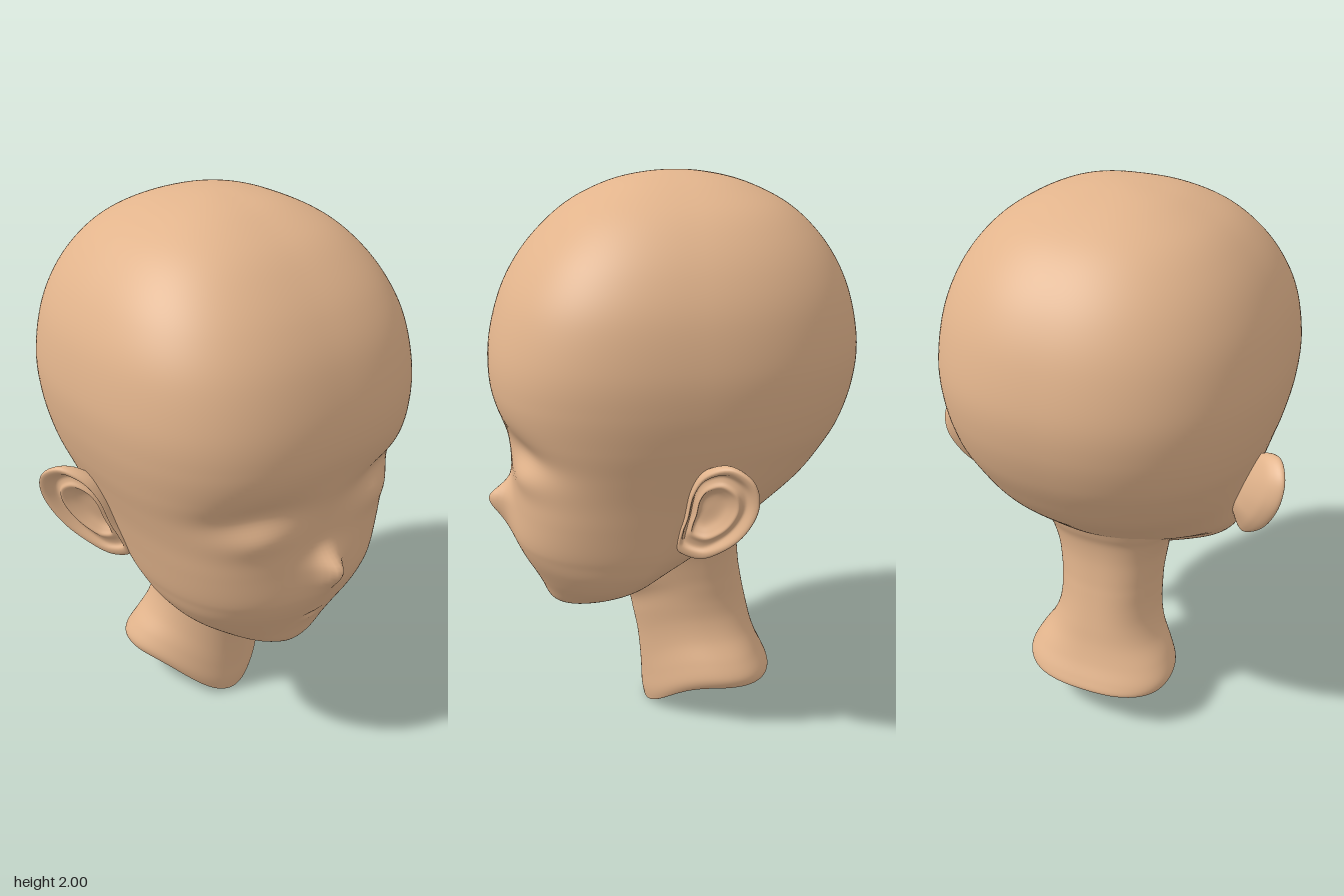
import * as THREE from 'three';

const skin = new THREE.MeshStandardMaterial({ color: 0xe2b48c, side: THREE.DoubleSide });

// Closed tube of rings: fn(u, v) -> [x, y, z], u runs round, v runs along
function loft(name, cols, rows, fn, flip = false) {
  const pos = [], idx = [];
  for (let j = 0; j <= rows; j++)
    for (let i = 0; i < cols; i++) pos.push(...fn(i / cols, j / rows));
  for (let j = 0; j < rows; j++)
    for (let i = 0; i < cols; i++) {
      const a = j * cols + i, b = j * cols + (i + 1) % cols, c = a + cols, d = b + cols;
      if (flip) idx.push(a, c, b, b, c, d);
      else idx.push(a, b, c, b, d, c);
    }
  const g = new THREE.BufferGeometry();
  g.setAttribute('position', new THREE.Float32BufferAttribute(pos, 3));
  g.setIndex(idx);
  g.computeVertexNormals();
  const mesh = new THREE.Mesh(g, skin);
  mesh.name = name;
  return mesh;
}

// Smooth interpolation through table rows; 'before' and 'after' set the end tangents
function sample(table, t, before, after) {
  const n = table.length - 1, k = Math.min(Math.floor(t * n), n - 1), f = t * n - k;
  const p0 = k ? table[k - 1] : before, p3 = k < n - 1 ? table[k + 2] : after;
  return table[k].map((p1, c) => {
    const p2 = table[k + 1][c], a = p0[c], d = p3[c];
    return p1 + 0.5 * f * (p2 - a + f * (2 * a - 5 * p1 + 4 * p2 - d + f * (3 * (p1 - p2) + d - a)));
  });
}

const bell = (d, s) => Math.exp(-d * d / (2 * s * s));
const { smoothstep } = THREE.MathUtils;

// Superellipse outline with separate front and back depth
function outline(u, w, front, back, zc, nFront, nBack) {
  const s = Math.sin(u * 2 * Math.PI), c = Math.cos(u * 2 * Math.PI), n = c > 0 ? nFront : nBack;
  const r = (Math.abs(s) ** n + Math.abs(c) ** n) ** (-1 / n);
  return [w * s * r, zc + c * r * (c > 0 ? front - zc : zc - back), c];
}

// Head sections from chin to crown: y, half width, front z, back z, widest z
const HEAD = [
  [0.46, 0, 0.39, 0.39, 0.39], [0.465, 0.045, 0.42, 0.33, 0.385], [0.485, 0.1, 0.442, 0.23, 0.37],
  [0.512, 0.17, 0.458, 0.15, 0.33], [0.56, 0.255, 0.477, 0.09, 0.27], [0.62, 0.335, 0.505, 0.03, 0.21],
  [0.69, 0.388, 0.54, -0.06, 0.16], [0.75, 0.415, 0.562, -0.17, 0.12], [0.8, 0.432, 0.568, -0.26, 0.1],
  [0.9, 0.457, 0.562, -0.38, 0.07], [1.0, 0.483, 0.56, -0.485, 0.04], [1.1, 0.514, 0.567, -0.55, 0.02],
  [1.2, 0.545, 0.592, -0.6, 0], [1.32, 0.57, 0.621, -0.635, 0], [1.45, 0.577, 0.615, -0.643, 0],
  [1.6, 0.554, 0.572, -0.613, 0], [1.72, 0.505, 0.506, -0.56, -0.01], [1.82, 0.435, 0.42, -0.485, -0.02],
  [1.9, 0.345, 0.322, -0.39, -0.03], [1.96, 0.225, 0.2, -0.265, -0.03], [1.99, 0.11, 0.085, -0.145, -0.03],
  [2.0, 0, -0.03, -0.03, -0.03],
];
const overPole = ([y, w, f, b, z]) => [y, -w, b, f, z];

// Nose, eye sockets with closed lids, and small mouth, as forward offsets
function faceRelief(x, y) {
  const ax = Math.abs(x), up = y > 0.88;
  let d = 0.05 * bell(x, 0.025) * bell(y - 0.88, up ? 0.035 : 0.05);
  d += 0.034 * bell(x, 0.06) * bell(y - 0.88, up ? 0.04 : 0.085);
  d -= 0.038 * bell(ax - 0.27, 0.11) * bell(y - 1.13, 0.05);
  d += 0.018 * bell(ax - 0.27, 0.075) * bell(y - 1.05, 0.04);
  d += bell(x, 0.024) * (0.004 * bell(y - 0.618, 0.014) - 0.01 * bell(y - 0.637, 0.009) + 0.004 * bell(y - 0.656, 0.012));
  return d;
}

function headPoint(u, v) {
  const [y, w, f, b, zc] = sample(HEAD, v, overPole(HEAD[1]), overPole(HEAD[HEAD.length - 2]));
  // full cheeks, softer chin; narrower nape under a round skull
  const nFront = 2 + 0.85 * smoothstep(y, 0.52, 0.95) - 0.2 * smoothstep(y, 1.1, 1.35);
  const nBack = 1.8 + 0.5 * smoothstep(y, 0.75, 1.2);
  const [x, z, c] = outline(u, w, f, b, zc, nFront, nBack);
  return [x, y, z + faceRelief(x, y) * smoothstep(c, 0, 0.35)];
}

// Neck sections from the shallow underside, round the rim and flaring up into the head:
// height fraction above the rim, half width, front z, back z
const NECK = [
  [0.04, 0, -0.19, -0.19], [0.035, 0.12, -0.05, -0.26], [0.015, 0.22, 0.05, -0.335], [0, 0.258, 0.086, -0.366],
  [0.02, 0.278, 0.094, -0.38], [0.07, 0.284, 0.1, -0.367], [0.15, 0.258, 0.102, -0.34],
  [0.25, 0.215, 0.107, -0.316], [0.35, 0.192, 0.116, -0.3], [0.45, 0.185, 0.132, -0.285],
  [0.54, 0.185, 0.15, -0.273], [0.62, 0.188, 0.2, -0.264], [0.75, 0.2, 0.25, -0.256],
  [0.86, 0.225, 0.27, -0.261], [0.93, 0.25, 0.27, -0.278], [1, 0.27, 0.27, -0.295],
];

function neckPoint(u, v) {
  const [h, w, f, b] = sample(NECK, v, NECK[1], NECK[NECK.length - 1]);
  // widest towards the back at the base
  const low = 1 - smoothstep(h, 0, 0.5);
  const [x, z, c] = outline(u, w, f, b, -0.09 - 0.1 * low, 2 - 0.2 * low, 2.3 + 0.2 * low);
  // the rim dips to a point at the throat
  const reach = v < 0.2 ? Math.min(1, w / 0.258) : 1;
  const rim = 0.16 - 0.16 * Math.max(0, c) ** 2.9 * reach;
  return [x, rim + (0.85 - rim) * h, z];
}

// Ear outline (z, y) and its rings: scale, outward offset
const earCurve = new THREE.CatmullRomCurve3([
  [0.03, 0.95], [0.015, 1.06], [-0.02, 1.13], [-0.09, 1.165], [-0.155, 1.125], [-0.176, 1.04],
  [-0.145, 0.93], [-0.09, 0.85], [-0.02, 0.8], [0.045, 0.82], [0.045, 0.88],
].map(([z, y]) => new THREE.Vector3(0, y, z)), true);
const EAR = [
  [0, -0.085], [0.5, -0.075], [0.85, -0.05], [0.97, -0.025], [1, 0], [0.95, 0.016], [0.86, 0.012],
  [0.77, -0.012], [0.66, -0.008], [0.56, 0.004], [0.46, -0.012], [0.3, -0.03], [0, -0.032],
];

function earPoint(side) {
  return (u, v) => {
    const [s, h] = sample(EAR, v, [-0.5, -0.075], [-0.3, -0.03]);
    const p = earCurve.getPoint(u);
    const y = 0.99 + (p.y - 0.99) * s, z = -0.045 + (p.z + 0.045) * s;
    // tilted plane; the relief softens towards the lobe
    const x = 0.499 + 0.225 * (y - 1) - 0.66 * z + h * smoothstep(y, 0.7, 0.95);
    return [side * x, y, z];
  };
}

export function createModel() {
  const model = new THREE.Group();
  model.name = 'headBust';
  model.add(loft('head', 192, 170, headPoint));
  model.add(loft('neck', 96, 96, neckPoint));
  model.add(loft('leftEar', 64, 48, earPoint(1)));
  model.add(loft('rightEar', 64, 48, earPoint(-1), true));
  return model;
}
